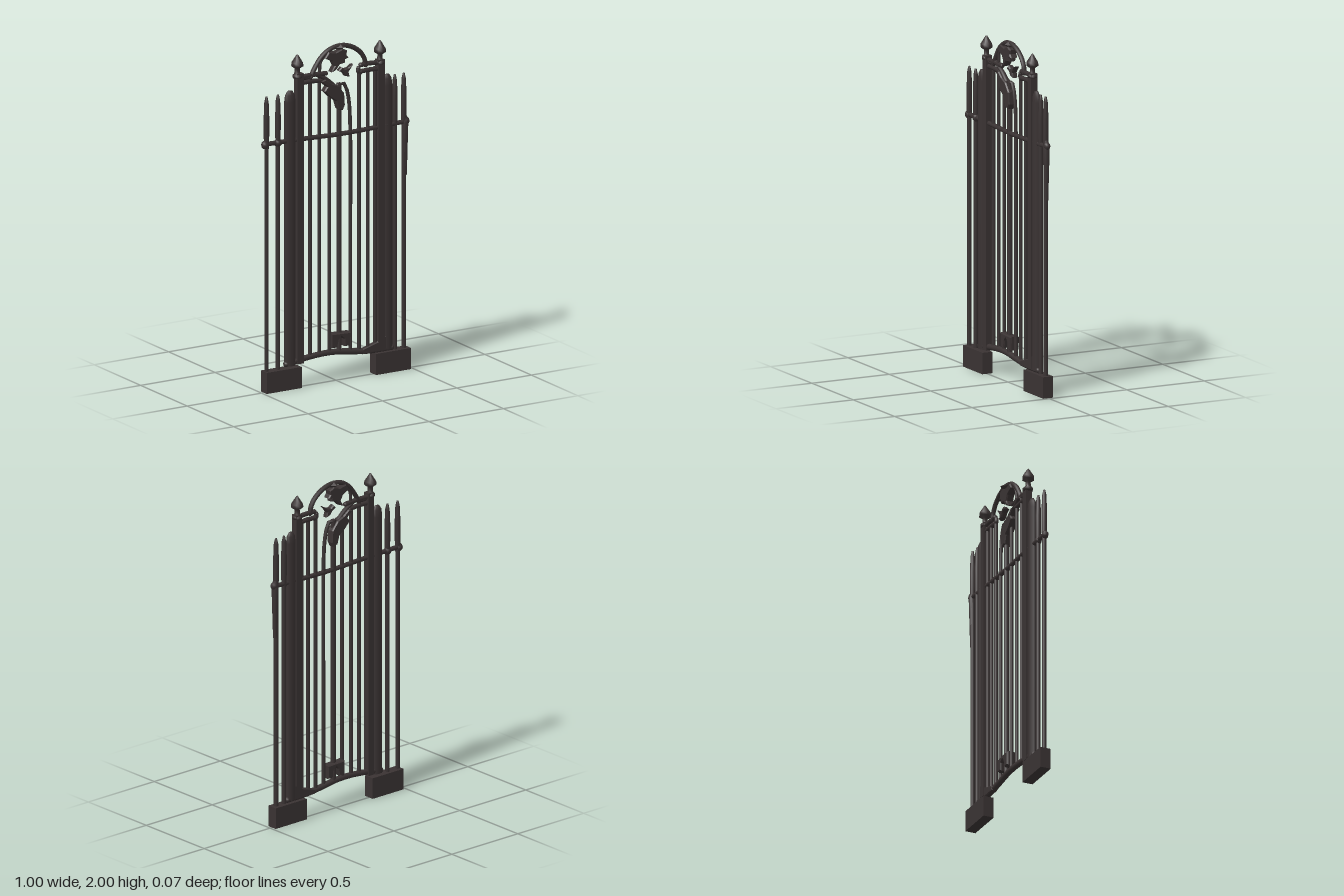
import * as THREE from 'three';

const iron = new THREE.MeshStandardMaterial({ color: 0x3a3333 });
iron.name = 'dark iron';

const V = (p) => new THREE.Vector3(p[0], p[1], p[2] || 0);

export function createModel() {
  const root = new THREE.Group();
  root.name = 'gardenGate';

  const add = (name, geo, x = 0, y = 0, z = 0) => {
    const m = new THREE.Mesh(geo, iron);
    m.name = name;
    m.position.set(x, y, z);
    root.add(m);
    return m;
  };
  const box = (name, x0, x1, y0, y1, d) =>
    add(name, new THREE.BoxGeometry(x1 - x0, y1 - y0, d), (x0 + x1) / 2, (y0 + y1) / 2);
  const bar = (name, x, y0, y1, r) =>
    add(name, new THREE.CylinderGeometry(r, r, y1 - y0, 8), x, (y0 + y1) / 2);
  const lathe = (name, x, pts, sides = 8) =>
    add(name, new THREE.LatheGeometry(pts.map((p) => new THREE.Vector2(p[0], p[1])), sides), x);
  // Bent round rod with closed ends
  const rod = (name, pts, r) => {
    const curve = new THREE.CatmullRomCurve3(pts.map(V));
    add(name, new THREE.TubeGeometry(curve, pts.length * 5, r, 8));
    for (const p of [pts[0], pts[pts.length - 1]])
      add(name + 'End', new THREE.SphereGeometry(r, 8, 6), p[0], p[1], p[2] || 0);
  };
  // Flat ornament, bevelled towards its edge
  const leaf = (name, pts, depth) => {
    const s = new THREE.Shape(pts.map((p) => new THREE.Vector2(p[0], p[1])));
    const g = new THREE.ExtrudeGeometry(s, {
      depth, bevelEnabled: true, bevelThickness: 0.008, bevelSize: 0.005, bevelOffset: -0.005, bevelSegments: 1,
    });
    g.translate(0, 0, -depth / 2);
    add(name, g);
  };

  // Footing blocks
  box('leftFooting', 0.25, 0.485, 0, 0.125, 0.064);
  box('rightFooting', -0.485, -0.25, 0, 0.125, 0.064);

  // Side fence bars with spear tips
  for (const x of [-0.467, -0.39, 0.395, 0.455]) {
    lathe('spearBar', x, [[0, 0.12], [0.013, 0.12], [0.013, 1.44], [0.016, 1.5],
      [0.017, 1.62], [0.013, 1.72], [0.006, 1.753], [0, 1.755]]);
  }
  // Swelling of the outermost left bar below the rail
  lathe('barSwelling', 0.462, [[0.012, 1.15], [0.018, 1.36], [0.021, 1.46], [0.012, 1.5]]);

  // Broad hinge posts with rounded tops
  for (const [x, w] of [[-0.31, 0.036], [0.343, 0.033]]) {
    const post = lathe('broadPost', x, [[0, 0.135], [w, 0.135], [w, 1.7], [w * 0.85, 1.74], [w * 0.45, 1.763], [0, 1.765]], 10);
    post.scale.z = 0.62;
  }

  // Gate posts and their finials
  for (const [x, px] of [[-0.25, -0.26], [0.295, 0.295]]) {
    box('gatePost', x - 0.021, x + 0.021, 0.14, 1.86, 0.04);
    lathe('finial', px, [[0, 1.83], [0.028, 1.835], [0.028, 1.85], [0.016, 1.86], [0.015, 1.89],
      [0.036, 1.905], [0.034, 1.925], [0.012, 1.96], [0.004, 1.972], [0, 1.973]]);
  }

  // Upright bars of the gate leaf
  const uprights = [[-0.175, 1.82], [-0.113, 1.8], [-0.045, 1.72], [0.021, 1.76],
    [0.155, 1.82], [0.213, 1.82], [0.262, 1.82]];
  for (const [x, top] of uprights) bar('upright', x, 0.16, top, x === 0.021 ? 0.015 : 0.011);
  rod('hoopedUpright', [[0.096, 0.16], [0.096, 0.8], [0.095, 1.5], [0.087, 1.64], [0.07, 1.72], [0.045, 1.76], [0.01, 1.75]], 0.011);

  // Long middle rail and its knuckles
  rod('middleRail', [[-0.475, 1.472], [-0.2, 1.465], [0.02, 1.457], [0.2, 1.458], [0.47, 1.465]], 0.014);
  for (const x of [-0.477, -0.39, 0.335, 0.468])
    add('railKnuckle', new THREE.SphereGeometry(0.025, 8, 6), x, 1.468).scale.z = 0.8;
  // Sagging bottom rail
  rod('bottomRail', [[-0.335, 0.147], [-0.24, 0.16], [-0.1, 0.172], [0, 0.17], [0.13, 0.152], [0.22, 0.142], [0.37, 0.14]], 0.018);
  leaf('bottomBracket', [[0.17, 0.13], [0.34, 0.13], [0.345, 0.24], [0.32, 0.22], [0.27, 0.19], [0.17, 0.16]], 0.018);

  // Arched latch plate at the foot
  leaf('latchPlate', [[-0.045, 0.2], [-0.005, 0.2], [0.005, 0.245], [0.02, 0.262], [0.04, 0.245],
    [0.045, 0.2], [0.08, 0.2], [0.085, 0.28], [-0.045, 0.285]], 0.04);

  // Short paired rails at shoulder height
  for (const [x0, x1, y] of [[-0.25, -0.07, 1.835], [-0.25, -0.1, 1.798], [0.165, 0.3, 1.845], [0.165, 0.3, 1.807]])
    rod('shoulderRail', [[x0, y], [(x0 + x1) / 2, y + 0.001], [x1, y - 0.004]], 0.014);
  rod('rightScroll', [[-0.24, 1.84], [-0.2, 1.825], [-0.15, 1.84], [-0.1, 1.815], [-0.06, 1.79], [0, 1.73], [0.035, 1.66]], 0.013);
  rod('leftScroll', [[0.15, 1.83], [0.148, 1.81], [0.165, 1.8]], 0.012);

  // Crowning arch
  rod('crownArch', [[-0.17, 1.825], [-0.145, 1.87], [-0.1, 1.93], [-0.04, 1.97], [0.03, 1.982],
    [0.1, 1.965], [0.16, 1.925], [0.19, 1.88], [0.198, 1.84]], 0.014);
  add('archKeystone', new THREE.OctahedronGeometry(0.045), 0.025, 1.975).scale.set(1, 0.52, 0.8);

  // Curling leaves inside the arch
  leaf('upperLeaf', [[-0.085, 1.925], [-0.06, 1.96], [-0.01, 1.95], [0.03, 1.965], [0.065, 1.95], [0.06, 1.925],
    [0.075, 1.905], [0.05, 1.9], [0.05, 1.88], [0.015, 1.875], [-0.01, 1.845], [-0.04, 1.835], [-0.02, 1.87], [-0.035, 1.9]], 0.03);
  leaf('crescentLeaf', [[0.01, 1.835], [0.04, 1.82], [0.055, 1.798], [0.085, 1.79], [0.078, 1.82],
    [0.107, 1.862], [0.075, 1.845], [0.05, 1.84], [0.03, 1.855]], 0.018);
  rod('leafStem', [[-0.11, 1.85], [-0.105, 1.9], [-0.075, 1.935], [-0.03, 1.945]], 0.009);

  // Drooping leaf over the middle bars
  leaf('droopingLeaf', [[-0.11, 1.79], [-0.08, 1.8], [-0.04, 1.77], [0.005, 1.75], [0.045, 1.7], [0.05, 1.63],
    [0.035, 1.6], [0.005, 1.61], [-0.01, 1.66], [-0.05, 1.69], [-0.09, 1.73], [-0.07, 1.755]], 0.03);

  return root;
}
